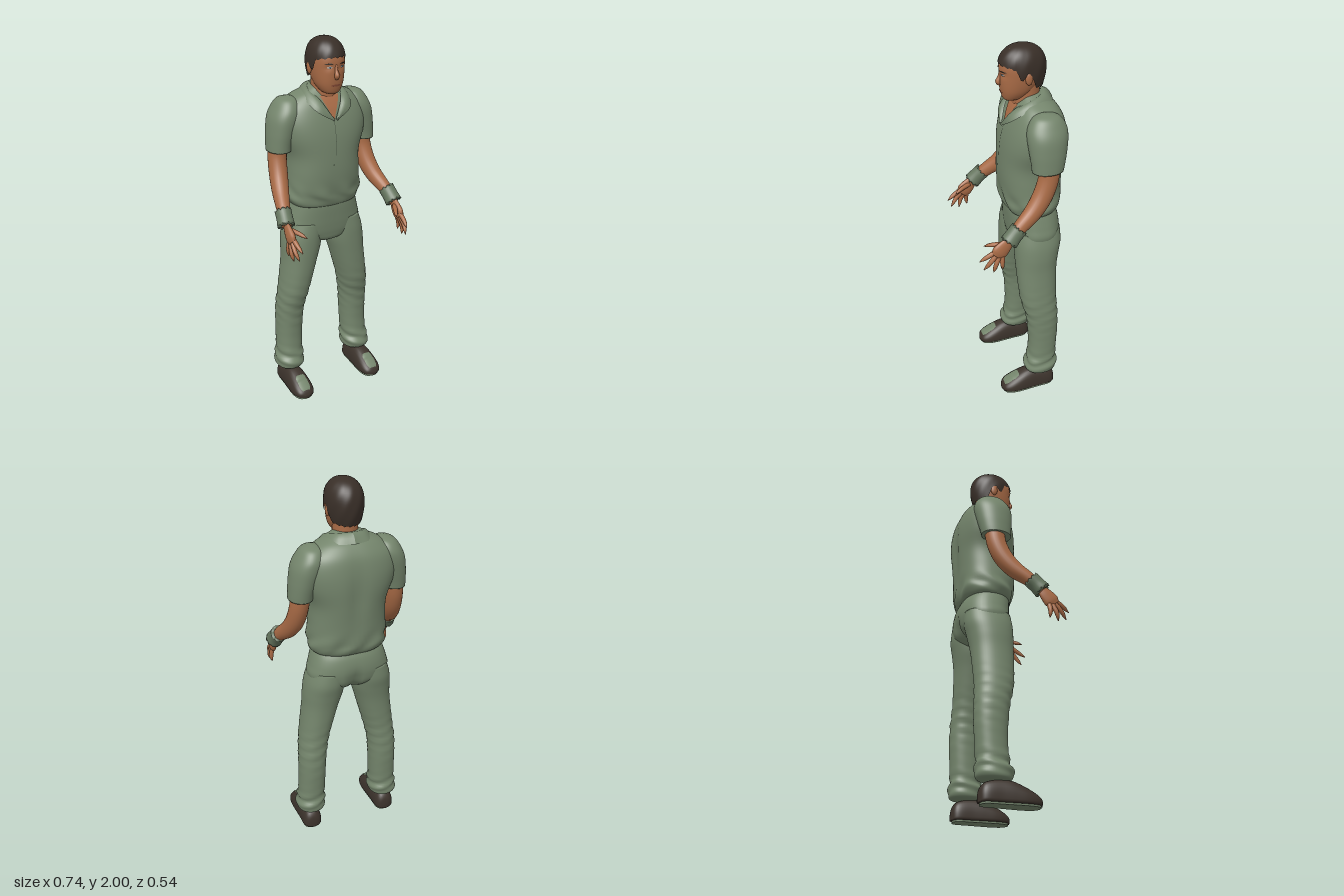
import * as THREE from 'three';

const V = (x, y, z) => new THREE.Vector3(x, y, z);
const mat = (name, color, side = THREE.FrontSide) => {
  const m = new THREE.MeshStandardMaterial({ color, side });
  m.name = name;
  return m;
};

// Closed smooth surface from rings of points, always wound outwards
function skinRings(rings, caps = true) {
  const n = rings[0].length, pos = [], idx = [];
  rings.forEach(r => r.forEach(p => pos.push(p.x, p.y, p.z)));
  const tri = (a, b, c) => idx.push(a, b, c);
  for (let i = 0; i < rings.length - 1; i++)
    for (let j = 0; j < n; j++) {
      const a = i * n + j, b = i * n + (j + 1) % n;
      tri(a, b, a + n); tri(b, b + n, a + n);
    }
  if (caps) [0, rings.length - 1].forEach((k, e) => {
    const c = rings[k].reduce((s, p) => s.add(p), V(0, 0, 0)).divideScalar(n);
    const ci = pos.push(c.x, c.y, c.z) / 3 - 1;
    for (let j = 0; j < n; j++) {
      const a = k * n + j, b = k * n + (j + 1) % n;
      e ? tri(a, b, ci) : tri(b, a, ci);
    }
  });
  const at = i => V(pos[i * 3], pos[i * 3 + 1], pos[i * 3 + 2]);
  const mid = rings[rings.length >> 1][0];
  let vol = 0;
  for (let i = 0; i < idx.length; i += 3)
    vol += at(idx[i]).sub(mid).dot(at(idx[i + 1]).sub(mid).cross(at(idx[i + 2]).sub(mid)));
  if (vol < 0) idx.reverse();
  const g = new THREE.BufferGeometry();
  g.setAttribute('position', new THREE.Float32BufferAttribute(pos, 3));
  g.setIndex(idx);
  g.computeVertexNormals();
  return g;
}

// Smooth interpolation through section rows, u in 0..1
function sample(rows, u) {
  const f = u * (rows.length - 1), i = Math.min(Math.floor(f), rows.length - 2), t = f - i;
  const R = k => rows[Math.max(0, Math.min(rows.length - 1, k))];
  return rows[0].map((_, c) => {
    const [a, b, d, e] = [R(i - 1)[c], R(i)[c], R(i + 1)[c], R(i + 2)[c]];
    return b + 0.5 * t * (d - a + t * (2 * a - 5 * b + 4 * d - e + t * (3 * (b - d) + e - a)));
  });
}
const pw = (v, n) => Math.sign(v) * Math.pow(Math.abs(v), 2 / n);

// Upright body: rows of [y, centre x, half width, front z, back z]
function body(rows, n = 2.2, move = p => p, seg = 48) {
  const steps = rows.length * 5, rings = [];
  for (let i = 0; i <= steps; i++) {
    const [y, cx, w, f, b] = sample(rows, i / steps);
    rings.push(Array.from({ length: seg }, (_, j) => {
      const a = j / seg * Math.PI * 2;
      return move(V(cx + w * pw(Math.cos(a), n), y, (f + b) / 2 + (f - b) / 2 * pw(Math.sin(a), n)));
    }));
  }
  return skinRings(rings);
}

// Tapered limb along a curve, optionally flattened in x
function limb(points, radii, flat = 1, steps = 16, seg = 16, ragged = 0) {
  const curve = new THREE.CatmullRomCurve3(points), fr = curve.computeFrenetFrames(steps);
  const rr = radii.map(r => [r]), rings = [];
  for (let i = 0; i <= steps; i++) {
    const c = curve.getPoint(i / steps), r = sample(rr, i / steps)[0];
    const end = (i === steps ? 1 : i === 0 ? -1 : 0) * ragged;
    rings.push(Array.from({ length: seg }, (_, j) => {
      const a = j / seg * Math.PI * 2;
      const p = c.clone().addScaledVector(fr.normals[i], r * Math.cos(a)).addScaledVector(fr.binormals[i], r * Math.sin(a));
      p.x = c.x + (p.x - c.x) * flat;
      return p.addScaledVector(fr.tangents[i], end * Math.sin(j * 2.3));
    }));
  }
  return skinRings(rings);
}

// Thin plate laid on the front of a body
function decal(rows, n, cx, cy, w, h, shape, off) {
  const g = new THREE.PlaneGeometry(2, 2, 8, 12), p = g.attributes.position;
  for (let i = 0; i < p.count; i++) {
    const v = p.getY(i), x = cx + p.getX(i) * w * shape(v), y = cy + v * h;
    let best = null;
    for (let k = 0; k <= 300; k++) {
      const s = sample(rows, k / 300);
      if (!best || Math.abs(s[0] - y) < Math.abs(best[0] - y)) best = s;
    }
    const [, c, rw, f, b] = best, q = Math.min(1, Math.abs(x - c) / rw);
    p.setXYZ(i, x, y, (f + b) / 2 + (f - b) / 2 * Math.pow(1 - Math.pow(q, n), 1 / n) + off);
  }
  g.computeVertexNormals();
  return g;
}
const round = v => Math.sqrt(Math.max(0, 1 - v * v));

const TORSO = [[1.755, 0, .06, -.05, -.155], [1.73, 0, .11, -.035, -.185], [1.7, 0, .17, -.015, -.22], [1.65, 0, .225, .01, -.25],
  [1.58, 0, .245, .035, -.266], [1.5, 0, .235, .052, -.271], [1.4, 0, .2, .06, -.266], [1.3, 0, .2, .061, -.257],
  [1.2, 0, .208, .052, -.25], [1.155, 0, .207, .044, -.245], [1.125, 0, .19, .034, -.228], [1.12, 0, .16, .02, -.2]];
const HEAD = [[1.724, 0, .025, .028, -.02], [1.735, 0, .046, .04, -.06], [1.765, 0, .066, .049, -.1], [1.8, 0, .077, .054, -.13],
  [1.85, 0, .084, .056, -.155], [1.9, 0, .085, .055, -.16], [1.95, 0, .075, .042, -.145], [1.985, 0, .04, .01, -.1]];
const HIPS = [[1.14, 0, .182, .028, -.215], [1.1, 0, .196, .028, -.236], [1.05, 0, .211, .025, -.247], [1, 0, .222, .021, -.246],
  [.95, 0, .2, .014, -.232], [.91, 0, .11, 0, -.19], [.885, 0, .03, -.05, -.14]];
const SLEEVE = [[1.708, .185, .012, -.1, -.13], [1.692, .19, .05, -.055, -.185], [1.65, .2, .072, -.025, -.215], [1.6, .215, .08, -.015, -.22],
  [1.53, .234, .072, -.02, -.21], [1.47, .246, .064, -.027, -.198], [1.432, .25, .061, -.03, -.19]];
const LEG = [[1.02, .11, .1, .012, -.235], [.95, .126, .106, .018, -.236], [.88, .136, .106, .018, -.222], [.8, .15, .096, .015, -.209],
  [.7, .17, .088, .01, -.203], [.6, .19, .081, 0, -.2], [.5, .205, .076, -.025, -.205], [.4, .21, .074, -.036, -.206],
  [.3, .213, .073, -.04, -.2], [.21, .217, .074, -.032, -.196], [.16, .221, .081, -.014, -.202], [.125, .222, .076, -.02, -.195], [.115, .222, .06, -.04, -.17]];

export function createModel() {
  const root = new THREE.Group();
  root.name = 'standingMan';
  const green = mat('greenCloth', 0x74856c), openGreen = mat('collarCloth', 0x74856c, THREE.DoubleSide);
  const band = mat('wristCloth', 0x66765f), seam = mat('seam', 0x4c5947), skin = mat('skin', 0xa96b46);
  const hair = mat('hair', 0x392f28, THREE.DoubleSide), shoeMat = mat('shoeLeather', 0x3c332c);
  const white = mat('eyeWhite', 0xb9aca0), iris = mat('iris', 0x48667a), lip = mat('lips', 0x8a4d38);
  const add = (name, geo, m) => {
    const o = new THREE.Mesh(geo, m);
    o.name = name;
    root.add(o);
    return o;
  };

  // Shirt with spine crease and gathered folds near the hem
  add('shirt', body(TORSO, 2.4, p => {
    if (p.z < -.15) p.z += .014 * Math.exp(-((p.x / .045) ** 2) - ((p.y - 1.45) / .16) ** 2);
    const k = .006 * Math.exp(-(((p.y - 1.18) / .05) ** 2));
    p.z += k * Math.sin(p.x * 45 + p.y * 30);
    p.x += k * Math.sin(p.z * 40 + p.y * 60);
    return p;
  }, 72), green);
  add('neckOpening', decal(TORSO, 2.4, 0, 1.65, .055, .06, v => (v + 1) / 2, .005), skin);
  add('placketSeam', decal(TORSO, 2.4, 0, 1.5, .0015, .09, () => 1, .004), seam);
  add('button', decal(TORSO, 2.4, -.018, 1.36, .005, .005, round, .004), seam);

  // Trousers seat with a crease behind
  add('trouserSeat', body(HIPS, 2.4, p => {
    if (p.z < -.12) p.z += .03 * Math.exp(-((p.x / .025) ** 2) - ((p.y - .95) / .07) ** 2);
    return p;
  }), green);

  // Neck, head and face
  add('neck', body([[1.6, 0, .07, -.01, -.15], [1.68, 0, .068, -.01, -.15], [1.74, 0, .064, -.008, -.148], [1.82, 0, .062, -.01, -.15]], 2), skin);
  add('head', body(HEAD, 2.3, p => {
    if (p.z > 0) p.z -= .006 * Math.exp(-(((Math.abs(p.x) - .035) / .018) ** 2) - ((p.y - 1.862) / .014) ** 2);
    return p;
  }), skin);
  add('nose', limb([V(0, 1.875, .05), V(0, 1.845, .056), V(0, 1.818, .064), V(0, 1.806, .054)], [.007, .009, .0135, .008], 1, 12, 12), skin);
  add('lips', decal(HEAD, 2.3, 0, 1.772, .026, .006, round, .003), lip);

  // Hair cap with fringe, sideburns and nape
  const edge = [[-1, 1.785], [-.4, 1.8], [-.15, 1.87], [.05, 1.885], [.12, 1.845], [.3, 1.85], [.48, 1.9], [1.01, 1.912]];
  const hairRings = [];
  for (let i = 0; i <= 20; i++) hairRings.push(Array.from({ length: 64 }, (_, j) => {
    const a = j / 64 * Math.PI * 2, f = Math.sin(a);
    const k = Math.max(1, edge.findIndex(e => e[0] > f)), [e0, e1] = [edge[k - 1], edge[k]];
    const low = e0[1] + (e1[1] - e0[1]) * (f - e0[0]) / (e1[0] - e0[0]) + .004 * Math.sin(j * 1.9);
    const y = low + (2 - low) * Math.sin(i / 20 * Math.PI / 2);
    const up = Math.max(0, (y - 1.88) / .12), dn = Math.max(0, (1.88 - y) / .1);
    const r = Math.pow(Math.max(0, 1 - Math.pow(up, 2.3)), 1 / 2.3) * (1 - .16 * dn * dn) * (1 + .008 * Math.sin(a * 9 + y * 50));
    return V(.096 * r * Math.cos(a), y, -.058 + .122 * r * f);
  }));
  add('hair', skinRings(hairRings, false), hair);

  for (const s of [1, -1]) {
    const side = s > 0 ? 'left' : 'right';
    const put = (name, geo, m) => add(side + name, geo, m);
    const flip = rows => rows.map(([y, x, ...r]) => [y, s * x, ...r]);
    const P = (x, y, z) => V(s * x, y, z);

    // Eye, brow and ear
    put('Eye', decal(HEAD, 2.3, s * .035, 1.864, .013, .0055, round, .001), white);
    put('Iris', decal(HEAD, 2.3, s * .034, 1.864, .005, .005, round, .003), iris);
    put('Brow', decal(HEAD, 2.3, s * .038, 1.881, .02, .0035, round, .004), hair);
    put('Ear', new THREE.SphereGeometry(1, 16, 12).scale(.011, .032, .019).translate(s * .087, 1.85, -.066), skin);

    // Collar flap, folded over from the neck line
    const inner = new THREE.CatmullRomCurve3([P(0, 1.758, -.158), P(.06, 1.752, -.135), P(.08, 1.73, -.07), P(.058, 1.69, .0), P(.004, 1.595, .045)]);
    const outer = new THREE.CatmullRomCurve3([P(0, 1.715, -.218), P(.09, 1.715, -.185), P(.13, 1.705, -.07), P(.098, 1.645, .03), P(.01, 1.59, .052)]);
    const collar = new THREE.PlaneGeometry(1, 1, 24, 4), cp = collar.attributes.position;
    for (let i = 0; i < cp.count; i++) {
      const t = cp.getX(i) + .5, v = cp.getY(i) + .5, p = inner.getPoint(t).lerp(outer.getPoint(t), v);
      const bulge = .02 * Math.sin(Math.PI * v) * (1 - t * .6);
      cp.setXYZ(i, p.x, p.y + bulge, p.z + bulge * t);
    }
    collar.computeVertexNormals();
    put('Collar', collar, openGreen);

    // Sleeve and arm
    put('Sleeve', body(flip(SLEEVE), 2.1), green);
    put('Arm', limb([P(.25, 1.46, -.12), P(.258, 1.38, -.11), P(.268, 1.3, -.078), P(.285, 1.23, -.025), P(.31, 1.165, .055), P(.326, 1.105, .12)],
      [.054, .053, .052, .047, .037, .028], .92, 28, 24), skin);
    put('WristBand', limb([P(.316, 1.165, .06), P(.322, 1.135, .09), P(.328, 1.105, .117)], [.045, .044, .047], .95, 8, 28, .006), band);

    // Hand with spread fingers
    put('Palm', limb([P(.326, 1.115, .11), P(.327, 1.085, .137), P(.327, 1.055, .165), P(.327, 1.035, .182)], [.027, .038, .044, .034], .45), skin);
    [['Thumb', [.318, 1.09, .14], [.292, 1.082, .19], [.27, 1.068, .232]],
      ['Index', [.325, 1.06, .185], [.322, 1.035, .228], [.314, 1.008, .268]],
      ['Middle', [.328, 1.043, .182], [.331, 1.0, .218], [.322, .96, .248]],
      ['Ring', [.33, 1.03, .17], [.338, .983, .19], [.331, .942, .2]],
      ['Little', [.33, 1.03, .152], [.338, .99, .155], [.335, .953, .152]]].forEach(([name, ...p]) =>
      put(name + 'Finger', limb(p.map(q => P(...q)), [.013, .0125, .0115, .009, .002], 1, 12, 12), skin));

    // Trouser leg with knee and ankle folds
    put('TrouserLeg', body(flip(LEG), 2.2, p => {
      const k = .005 * Math.exp(-(((p.y - .19) / .05) ** 2)) + .003 * Math.exp(-(((p.y - .52) / .12) ** 2));
      p.x += k * Math.sin(p.y * 110 + p.z * 25);
      p.z += k * Math.sin(p.y * 95 + p.x * 30);
      return p;
    }), green);

    // Shoe from sections along z: [z, half width, height]
    const SHOE = [[-.187, .012, .04], [-.178, .038, .08], [-.15, .053, .108], [-.08, .056, .122], [-.02, .06, .118],
      [.04, .063, .094], [.085, .058, .07], [.115, .042, .048], [.128, .012, .025]];
    const shoeRings = [], top = [];
    for (let i = 0; i <= 40; i++) {
      const [z, w, h] = sample(SHOE, i / 40);
      shoeRings.push(Array.from({ length: 32 }, (_, j) => {
        const a = j / 32 * Math.PI * 2, sn = Math.sin(a);
        return V(s * .225 + w * pw(Math.cos(a), 2.5), sn > 0 ? .025 + (h - .025) * pw(sn, 2.2) : .025 + .017 * pw(sn, 5), z);
      }));
      top.push([z, w, h]);
    }
    put('Shoe', skinRings(shoeRings), shoeMat);

    // Cloth patch over the instep and pale sole
    const patch = new THREE.PlaneGeometry(2, 2, 8, 12), pp = patch.attributes.position;
    for (let i = 0; i < pp.count; i++) {
      const z = .07 - pp.getY(i) * .043, x = pp.getX(i) * .031 * (1 - .3 * Math.pow(Math.abs(pp.getY(i)), 4));
      const [, w, h] = top.reduce((a, b) => Math.abs(b[0] - z) < Math.abs(a[0] - z) ? b : a);
      pp.setXYZ(i, s * .225 + x, .029 + (h - .025) * Math.pow(1 - Math.pow(Math.abs(x) / w, 2.5), 1 / 2.2), z);
    }
    patch.computeVertexNormals();
    put('ShoePatch', patch, green);
    const sole = new THREE.Shape(top.map(([z, w]) => new THREE.Vector2(w * .88, z * .95)).concat(
      top.map(([z, w]) => new THREE.Vector2(-w * .88, z * .95)).reverse()));
    put('Sole', new THREE.ExtrudeGeometry(sole, { depth: .009, bevelEnabled: false }).rotateX(Math.PI / 2).translate(s * .225, .009, 0), green);
  }
  return root;
}
